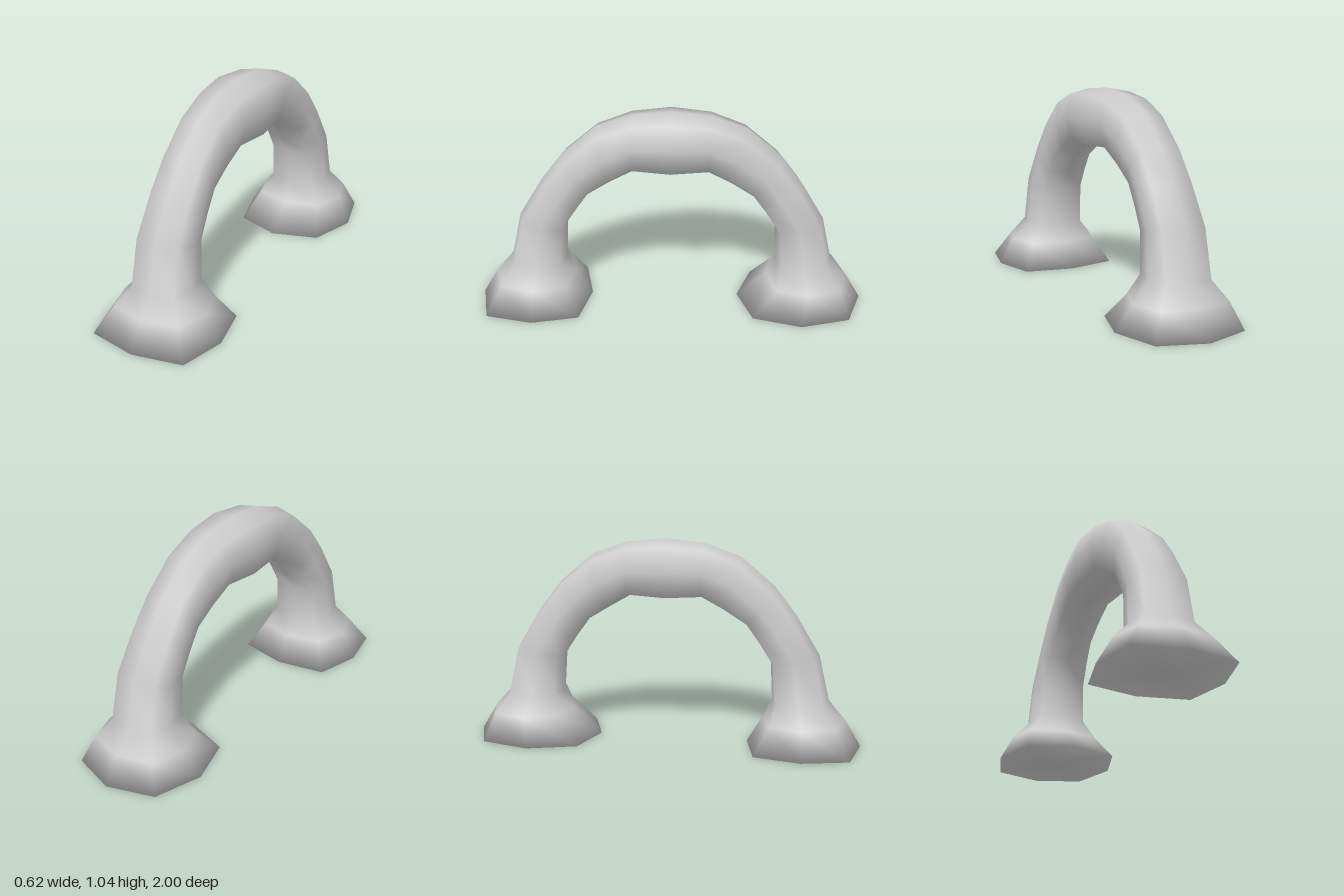
import * as THREE from 'three';

// Half of the arch, foot to crown:
// [outer z, outer y, inner z, inner y, half width, corner squareness]
const FOOT_FRONT = [1, 0, 0.42, 0, 0.312, 0.82];
const FOOT_BACK = [1, 0, 0.35, 0, 0.31, 0.76];
const LEG = [
  [0.92, 0.135, 0.5, 0.135, 0.235, 0.77],
  [0.835, 0.23, 0.545, 0.23, 0.147, 0.82],
  [0.78, 0.47, 0.535, 0.43, 0.138, 0.83],
  [0.66, 0.67, 0.47, 0.53, 0.13, 0.83],
  [0.55, 0.815, 0.405, 0.62, 0.125, 0.83],
  [0.38, 0.96, 0.3, 0.685, 0.128, 0.83],
  [0.2, 1.025, 0.19, 0.75, 0.138, 0.83],
];
const CROWN = [0, 1.045, 0, 0.738, 0.157, 0.83];
const SIDES = 8;

// Slightly squared octagon spanning the outer and inner points of a row
function ring([oz, oy, iz, iy, w, corner]) {
  const points = [];
  for (let k = 0; k < SIDES; k++) {
    const a = (k / SIDES) * Math.PI * 2;
    const f = k % 2 ? corner / Math.SQRT1_2 : 1;
    const c = Math.cos(a) * f, s = Math.sin(a) * f;
    points.push([s * w, (oy + iy) / 2 + (c * (oy - iy)) / 2, (oz + iz) / 2 + (c * (oz - iz)) / 2]);
  }
  return points;
}

// Closed smooth skin through the rings, with a flat sole at both ends
function loft(rings) {
  const index = [];
  const last = (rings.length - 1) * SIDES;
  for (let k = 0; k < SIDES; k++) {
    const next = (k + 1) % SIDES;
    for (let row = 0; row < last; row += SIDES) {
      const a = row + k, b = row + next;
      index.push(a, b, a + SIDES, b, b + SIDES, a + SIDES);
    }
    // Soles fan out from a centre point
    index.push(last + SIDES, next, k, last + SIDES + 1, last + k, last + next);
  }
  const centre = (points) => [0, 0, (points[0][2] + points[SIDES / 2][2]) / 2];
  const points = [...rings.flat(), centre(rings[0]), centre(rings[rings.length - 1])];

  const geometry = new THREE.BufferGeometry();
  geometry.setAttribute('position', new THREE.Float32BufferAttribute(points.flat(), 3));
  geometry.setIndex(index);
  geometry.computeVertexNormals();
  return geometry;
}

export function createModel() {
  const group = new THREE.Group();
  group.name = 'archHandle';

  // Front foot, over the crown, down to the back foot
  const back = [FOOT_BACK, ...LEG].reverse().map(([oz, oy, iz, ...rest]) => [-oz, oy, -iz, ...rest]);
  const rings = [FOOT_FRONT, ...LEG, CROWN, ...back].map(ring);

  const arch = new THREE.Mesh(loft(rings), new THREE.MeshStandardMaterial({ color: 0xcccccc }));
  arch.name = 'arch';
  group.add(arch);
  return group;
}
